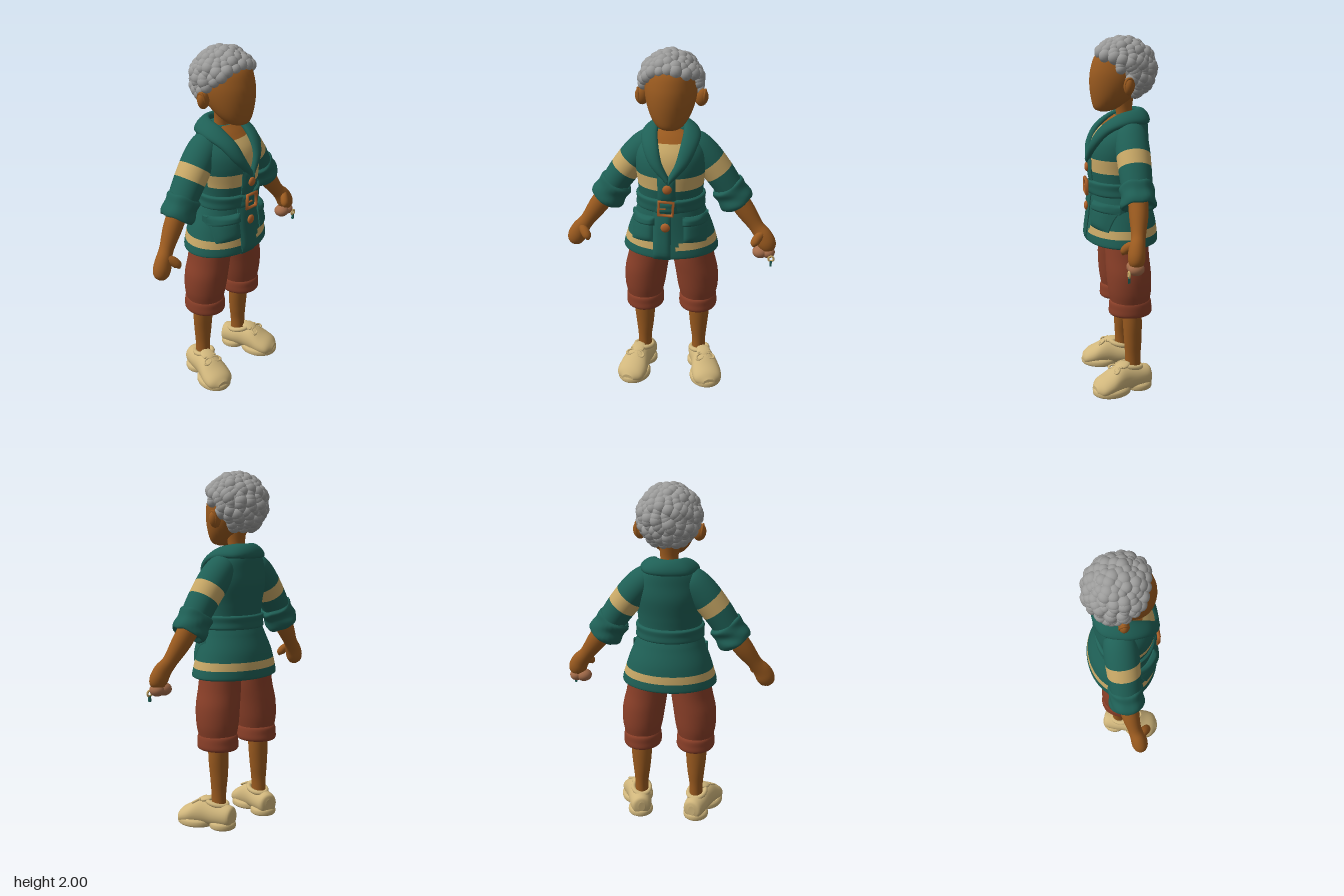
import * as THREE from 'three';
import { mergeGeometries } from 'three/addons/utils/BufferGeometryUtils.js';

const V = (x, y, z) => new THREE.Vector3(x, y, z);
const paintOf = (name, color) => {
  const m = new THREE.MeshStandardMaterial({ color, side: THREE.DoubleSide });
  m.name = name;
  return m;
};
const skin = paintOf('skin', 0x9a5a1f), green = paintOf('jacketGreen', 0x1f6056);
const cream = paintOf('stripeCream', 0xc8a866), rust = paintOf('shortsRust', 0x8a3f28);
const grey = paintOf('hairGrey', 0x9c9c9b), tan = paintOf('shoeTan', 0xd0b67c);
const copper = paintOf('buttonCopper', 0xb0622a), clay = paintOf('knobClay', 0xa46c4a);

// Sweeps an ellipse; ring(t) gives centre c, half width vector u, half depth b, optional tangent
function sweep(name, mat, ring, { n = 28, m = 28, paint = () => 0, fix } = {}) {
  const pos = [], faces = [], rows = [];
  const quad = (id, ...f) => (faces[id] ??= []).push(...f);
  for (let i = 0; i <= m; i++) {
    const t = i / m, r = ring(t), row = [];
    const e0 = Math.max(0, t - 0.01), e1 = Math.min(1, t + 0.01);
    const along = r.axis ?? ring(e1).c.clone().sub(ring(e0).c).normalize();
    const v = along.clone().cross(r.u).setLength(r.b);
    for (let j = 0; j < n; j++) {
      const q = (j / n) * Math.PI * 2;
      const p = r.c.clone().addScaledVector(r.u, Math.cos(q)).addScaledVector(v, Math.sin(q));
      if (fix) fix(p);
      row.push(p);
      pos.push(p.x, p.y, p.z);
    }
    rows.push({ row, c: r.c });
  }
  for (let i = 0; i < m; i++) for (let j = 0; j < n; j++) {
    const k = (j + 1) % n, a = i * n + j, b = i * n + k;
    const mid = rows[i].row[j].clone().add(rows[i + 1].row[k]).multiplyScalar(0.5);
    quad(paint(mid, (i + 0.5) / m), a, b, a + n, b, b + n, a + n);
  }
  // end caps with their own corners
  for (const [end, flip] of [[rows[0], true], [rows[m], false]]) {
    const s = pos.length / 3, id = paint(end.c, flip ? 0 : 1);
    [...end.row, end.c].forEach(p => pos.push(p.x, p.y, p.z));
    for (let j = 0; j < n; j++) {
      const k = (j + 1) % n;
      flip ? quad(id, s + k, s + j, s + n) : quad(id, s + j, s + k, s + n);
    }
  }
  const g = new THREE.BufferGeometry();
  g.setAttribute('position', new THREE.Float32BufferAttribute(pos, 3));
  g.setIndex(faces.flatMap(f => f ?? []));
  let start = 0;
  faces.forEach((f, id) => { g.addGroup(start, f.length, id); start += f.length; });
  g.computeVertexNormals();
  return named(name, g, mat);
}

function named(name, geo, mat, x = 0, y = 0, z = 0) {
  const o = new THREE.Mesh(geo, mat);
  o.name = name;
  o.position.set(x, y, z);
  return o;
}

// Smooth body through keys [x, y, z, halfWidth, halfDepth]; axis fixes the slice direction
function body(name, mat, keys, { axis, ref = V(0, 0, 1), ...opt } = {}) {
  const c = new THREE.CatmullRomCurve3(keys.map(k => V(k[0], k[1], k[2])), false, 'catmullrom');
  const s = new THREE.CatmullRomCurve3(keys.map(k => V(k[3], k[4], 0)), false, 'catmullrom');
  return sweep(name, mat, t => {
    const size = s.getPoint(t), along = axis ?? c.getTangent(t);
    return { c: c.getPoint(t), u: ref.clone().cross(along).setLength(size.x), b: size.y, axis: along };
  }, opt);
}
const UP = V(0, 1, 0);

function ball(name, mat, x, y, z, a, b, c) {
  return named(name, new THREE.SphereGeometry(1, 24, 16).scale(a, b, c), mat, x, y, z);
}

// Jacket sections: x, height, depth centre, half width, half depth
const TORSO = [
  [0, 0.86, 0, 0.262, 0.195], [0, 0.88, 0, 0.27, 0.204], [0, 1.0, 0, 0.235, 0.187], [0, 1.1, 0.012, 0.197, 0.164],
  [0, 1.17, 0.02, 0.18, 0.148], [0, 1.27, 0.02, 0.185, 0.157], [0, 1.38, 0.012, 0.2, 0.165],
  [0, 1.46, 0, 0.19, 0.15], [0, 1.53, -0.03, 0.148, 0.115], [0, 1.57, -0.045, 0.085, 0.08],
];
function frontZ(x, y) {
  let i = 0;
  while (i < TORSO.length - 2 && y > TORSO[i + 1][1]) i++;
  const A = TORSO[i], B = TORSO[i + 1], f = THREE.MathUtils.clamp((y - A[1]) / (B[1] - A[1]), 0, 1);
  const [z, a, b] = [2, 3, 4].map(k => A[k] + (B[k] - A[k]) * f);
  return z + b * Math.sqrt(Math.max(0.02, 1 - (x / a) ** 2));
}

// Padded panel laid on the jacket front
function pad(name, mat, x, y, w, h, d, tilt = 0) {
  const g = new THREE.BoxGeometry(w, h, 1, 10, 16, 1), p = g.attributes.position;
  for (let i = 0; i < p.count; i++) {
    const px = p.getX(i), py = p.getY(i);
    const puff = 0.3 + 0.7 * (1 - (2 * px / w) ** 4) * (1 - (2 * py / h) ** 4);
    const X = x + px, Y = y + py + tilt * px;
    p.setXYZ(i, X, Y, frontZ(X, Y) + (p.getZ(i) > 0 ? d * puff : -0.02));
  }
  g.computeVertexNormals();
  return named(name, g, mat);
}

function jacket() {
  const g = new THREE.Group();
  g.name = 'jacket';
  g.add(body('jacketBody', [green, cream, skin], TORSO, {
    axis: UP, n: 80, m: 108,
    paint: p => {
      if (p.z > 0.02 && Math.abs(p.x) < (p.y - 1.32) * 0.5) return p.y > 1.51 ? 2 : 1;
      if (p.z > 0.035 && p.y > 1.257 && p.y < 1.335) return 1;
      const opening = p.z > 0 && p.x > -0.08 && p.x < 0.05;
      return p.y > 0.915 && p.y < 0.953 && !opening ? 1 : 0;
    },
  }));
  g.add(pad('upperPlacket', green, -0.01, 1.27, 0.1, 0.15, 0.016));
  g.add(pad('lowerPlacket', green, -0.035, 1.0, 0.1, 0.285, 0.018));
  g.add(body('belt', green, [[0, 1.13, 0.018, 0.185, 0.152], [0, 1.14, 0.018, 0.195, 0.163], [0, 1.17, 0.02, 0.192, 0.164],
    [0, 1.2, 0.02, 0.195, 0.166], [0, 1.21, 0.02, 0.185, 0.154]], { axis: UP, n: 48 }));
  g.add(pad('beltFront', green, -0.01, 1.17, 0.13, 0.075, 0.028));
  g.add(named('buckle', new THREE.TorusGeometry(0.055, 0.01, 8, 4).rotateZ(Math.PI / 4 - 0.06), copper, -0.012, 1.17, 0.2));
  g.add(named('bucklePin', new THREE.CapsuleGeometry(0.005, 0.03, 4, 8).rotateZ(Math.PI / 2), copper, -0.03, 1.17, 0.203));
  for (const [x, y] of [[-0.005, 1.28], [-0.015, 1.055]])
    g.add(ball('button', copper, x, y, frontZ(x, y) + 0.018, 0.026, 0.026, 0.013));
  for (const s of [1, -1]) {
    g.add(pad('pocket', green, s * 0.147, 1.02, 0.125, 0.13, 0.024, -s * 0.1));
    g.add(pad('pocketFlap', green, s * 0.145, 1.075, 0.135, 0.05, 0.036, -s * 0.1));
  }
  // shawl collar between an inner and an outer edge
  const inner = [V(0, 1.35, 0.18), V(0.036, 1.42, 0.168), V(0.058, 1.5, 0.125), V(0.072, 1.57, 0.035), V(0.058, 1.598, -0.06), V(0, 1.603, -0.1)];
  const outer = [V(0, 1.3, 0.18), V(0.1, 1.405, 0.158), V(0.147, 1.49, 0.094), V(0.16, 1.53, -0.01), V(0.115, 1.53, -0.12), V(0, 1.525, -0.15)];
  const loop = h => new THREE.CatmullRomCurve3(
    [...h.map(p => V(-p.x, p.y, p.z)), ...h.slice(0, -1).reverse()], false, 'catmullrom');
  const I = loop(inner), O = loop(outer);
  g.add(sweep('collar', green, t => {
    const a = I.getPoint(t), b = O.getPoint(t);
    return { c: a.clone().add(b).multiplyScalar(0.5), u: b.sub(a).multiplyScalar(0.5), b: 0.026 };
  }, { n: 20, m: 72 }));
  return g;
}

function arm(s) {
  const g = new THREE.Group();
  g.name = s > 0 ? 'leftArm' : 'rightArm';
  const k = rows => rows.map(([x, ...r]) => [s * x, ...r]);
  g.add(body('sleeve', [green, cream], k([[0.09, 1.5, -0.03, 0.05, 0.06], [0.13, 1.47, -0.03, 0.078, 0.085], [0.188, 1.405, -0.028, 0.088, 0.093],
    [0.26, 1.315, -0.026, 0.085, 0.09], [0.315, 1.235, -0.025, 0.08, 0.085], [0.36, 1.16, -0.025, 0.076, 0.08]]),
  { n: 40, m: 60, paint: (p, t) => (t > 0.485 && t < 0.615 ? 1 : 0) }));
  // rolled cuff with a soft uneven edge
  g.add(body('cuff', green, k([[0.306, 1.235, -0.025, 0.078, 0.08], [0.314, 1.223, -0.025, 0.097, 0.094], [0.34, 1.185, -0.025, 0.093, 0.09],
    [0.364, 1.145, -0.025, 0.101, 0.097], [0.378, 1.125, -0.025, 0.09, 0.087], [0.37, 1.137, -0.025, 0.06, 0.06]]), { axis: V(s * 0.55, -0.835, 0),
    fix: p => { p.y += 0.004 * Math.sin(p.z * 70); p.z *= 1 + 0.03 * Math.sin(p.y * 90); } }));
  g.add(body('forearmAndHand', skin, k([[0.345, 1.19, -0.025, 0.06, 0.055], [0.42, 1.085, -0.015, 0.055, 0.05], [0.485, 0.995, 0, 0.042, 0.038],
    [0.525, 0.945, 0.015, 0.05, 0.043], [0.548, 0.9, 0.022, 0.052, 0.045], [0.56, 0.865, 0.025, 0.038, 0.034], [0.565, 0.848, 0.025, 0.008, 0.008]])));
  g.add(body('thumb', skin, k([[0.52, 0.965, 0.03, 0.02, 0.02], [0.495, 0.945, 0.055, 0.026, 0.024], [0.477, 0.92, 0.073, 0.023, 0.022],
    [0.472, 0.9, 0.08, 0.005, 0.005]]), { n: 16, m: 16 }));
  return g;
}

function leg(s) {
  const g = new THREE.Group();
  g.name = s > 0 ? 'leftLeg' : 'rightLeg';
  const k = rows => rows.map(([x, ...r]) => [s * x, ...r]);
  g.add(body('shortsLeg', rust, k([[0.158, 0.52, -0.022, 0.1, 0.108], [0.156, 0.6, -0.02, 0.117, 0.122], [0.148, 0.7, -0.015, 0.124, 0.126],
    [0.13, 0.8, -0.01, 0.12, 0.123], [0.118, 0.92, -0.01, 0.113, 0.12]]), { axis: UP }));
  g.add(body('shortsCuff', rust, k([[0.157, 0.475, -0.023, 0.06, 0.06], [0.157, 0.457, -0.023, 0.095, 0.105], [0.157, 0.468, -0.023, 0.11, 0.122],
    [0.157, 0.5, -0.023, 0.111, 0.121], [0.157, 0.532, -0.023, 0.107, 0.119], [0.157, 0.55, -0.023, 0.095, 0.105]]), { axis: UP }));
  g.add(body('shin', skin, k([[0.162, 0.52, -0.03, 0.06, 0.055], [0.163, 0.4, -0.035, 0.06, 0.054], [0.163, 0.29, -0.038, 0.05, 0.05],
    [0.165, 0.2, -0.038, 0.04, 0.045], [0.165, 0.09, -0.038, 0.04, 0.045]]), { axis: UP }));
  // shoe built straight, then turned out
  const shoe = new THREE.Group();
  shoe.name = 'shoe';
  shoe.position.set(s * 0.196, 0, 0.022);
  shoe.rotation.y = s * 0.28;
  shoe.add(body('shoeUpper', tan, [[0, 0.07, -0.168, 0.02, 0.03], [0, 0.07, -0.155, 0.055, 0.06], [0, 0.073, -0.09, 0.066, 0.068], [0, 0.078, -0.02, 0.068, 0.078],
    [0, 0.074, 0.04, 0.078, 0.082], [0, 0.055, 0.1, 0.088, 0.064], [0, 0.042, 0.15, 0.078, 0.048], [0, 0.035, 0.18, 0.035, 0.024]],
  { axis: V(0, 0, 1), ref: UP, fix: p => { p.y = Math.max(p.y, 0.012); } }));
  for (const [name, z, w, l] of [['frontSole', 0.075, 0.094, 0.112], ['heel', -0.098, 0.073, 0.076]])
    shoe.add(body(name, tan, [[0, 0, z, w - 0.008, l - 0.008], [0, 0.008, z, w, l], [0, 0.03, z, w, l], [0, 0.042, z, w - 0.01, l - 0.01]], { axis: UP, m: 8 }));
  const rim = named('shoeOpening', new THREE.TorusGeometry(0.05, 0.014, 10, 28).rotateX(Math.PI / 2).scale(1, 1, 1.2), tan, -s * 0.012, 0.14, -0.055);
  rim.rotation.x = -0.22;
  const tongue = ball('tongue', tan, 0, 0.154, 0.008, 0.042, 0.016, 0.046);
  tongue.rotation.x = 0.2;
  shoe.add(rim, tongue);
  for (const e of [1, -1]) {
    const bow = named('laceLoop', new THREE.TorusGeometry(0.02, 0.006, 8, 18).scale(1.3, 0.8, 1), tan, e * 0.03, 0.142, 0.056);
    bow.rotation.set(-1.05, 0, -e * 0.5);
    shoe.add(bow);
  }
  shoe.add(named('lace', new THREE.CapsuleGeometry(0.007, 0.07, 4, 8).rotateZ(Math.PI / 2), tan, 0, 0.155, 0.03));
  g.add(shoe);
  return g;
}

function head() {
  const g = new THREE.Group();
  g.name = 'head';
  g.add(body('face', skin, [[0, 1.588, 0.098, 0.02, 0.02], [0, 1.605, 0.088, 0.066, 0.063], [0, 1.66, 0.055, 0.108, 0.112], [0, 1.74, 0.02, 0.135, 0.156],
    [0, 1.82, 0.003, 0.14, 0.166], [0, 1.9, -0.008, 0.122, 0.146], [0, 1.95, -0.02, 0.075, 0.085], [0, 1.965, -0.02, 0.01, 0.01]], { axis: UP, n: 36, m: 40 }));
  g.add(body('neck', skin, [[0, 1.47, -0.02, 0.075, 0.07], [0, 1.54, -0.02, 0.054, 0.05], [0, 1.6, -0.015, 0.05, 0.046], [0, 1.68, -0.01, 0.06, 0.06]], { axis: UP }));
  for (const s of [1, -1]) {
    const ear = ball('ear', skin, s * 0.162, 1.738, -0.012, 0.036, 0.048, 0.028);
    const rim = named('earRim', new THREE.TorusGeometry(0.027, 0.007, 8, 20).rotateY(Math.PI / 2).scale(1, 1.35, 0.85), skin, s * 0.176, 1.742, -0.013);
    ear.rotation.z = rim.rotation.z = -s * 0.15;
    g.add(ear, rim);
  }
  // tight curls spread over the skull above a hairline that drops behind the ears
  g.add(ball('hairBase', grey, 0, 1.825, -0.05, 0.158, 0.152, 0.13));
  const curls = [], N = 240;
  for (let i = 0; i < N; i++) {
    const h = 1 - (2 * (i + 0.5)) / N, r = Math.sqrt(1 - h * h), q = i * 2.39996 + 0.12 * Math.sin(i * 3.1);
    const x = 0.149 * r * Math.cos(q), y = 1.817 + 0.147 * h, z = -0.008 + 0.16 * r * Math.sin(q);
    if (y < (z > -0.045 ? 1.79 + 0.95 * z : 1.69)) continue;
    const size = 0.034 + 0.005 * Math.sin(i * 7.3);
    curls.push(new THREE.SphereGeometry(size, 14, 10).translate(x, y, z));
  }
  g.add(named('curls', mergeGeometries(curls), grey));
  return g;
}

export function createModel() {
  const model = new THREE.Group();
  model.name = 'figure';
  model.add(jacket(), head());
  for (const s of [1, -1]) model.add(arm(s), leg(s));
  // small keepsake in the left hand
  const charm = new THREE.Group();
  charm.name = 'heldCharm';
  charm.add(ball('knob', clay, 0.513, 0.845, 0.024, 0.045, 0.036, 0.044), ball('knobEnd', clay, 0.558, 0.845, 0.025, 0.039, 0.034, 0.043));
  charm.add(named('charmRing', new THREE.TorusGeometry(0.015, 0.006, 8, 16), cream, 0.575, 0.823, 0.066));
  charm.add(named('charmTag', new THREE.BoxGeometry(0.012, 0.034, 0.012), green, 0.575, 0.795, 0.066));
  model.add(charm);
  return model;
}
